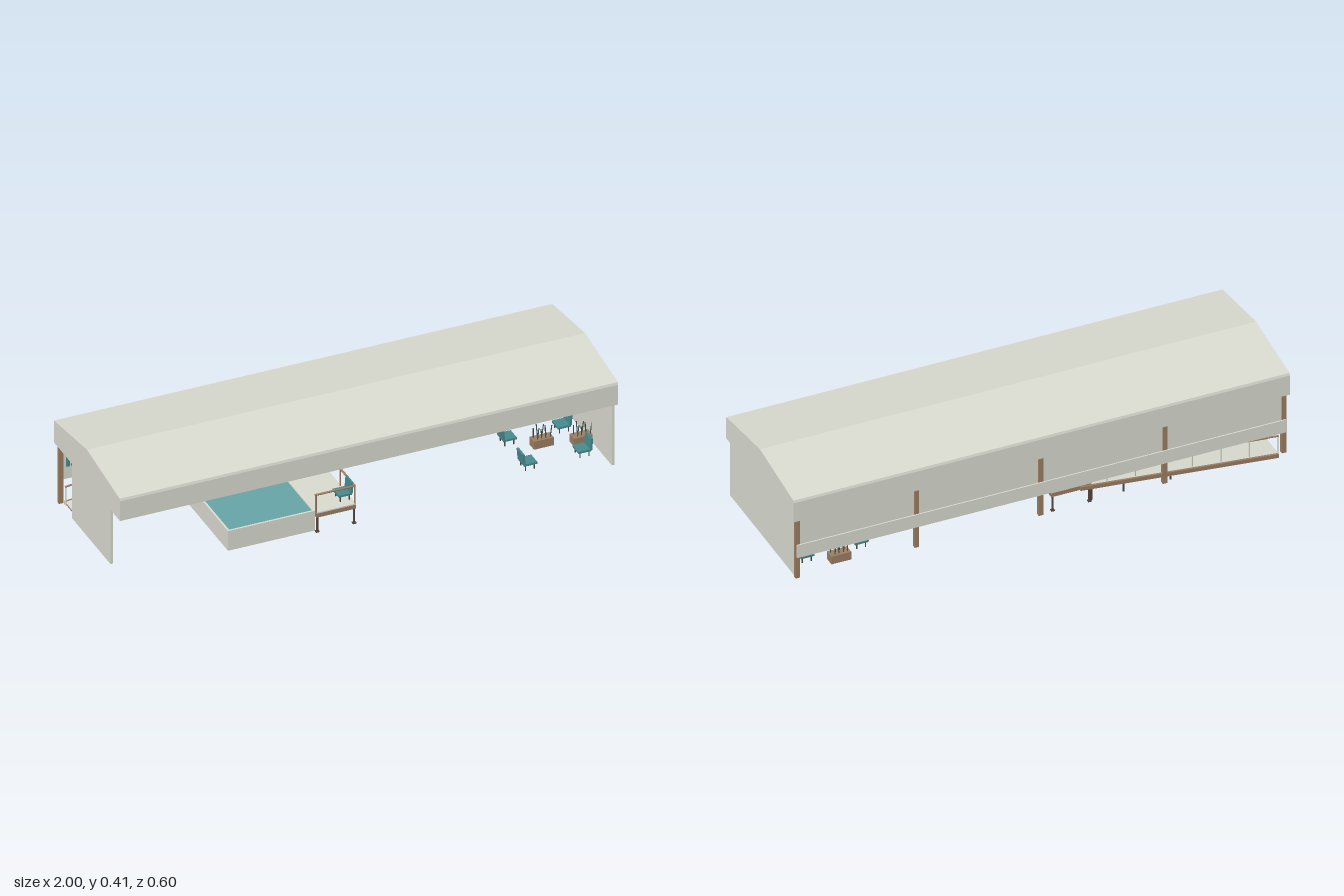
import * as THREE from 'three';

const mat = (name, color) => {
  const m = new THREE.MeshStandardMaterial({ color });
  m.name = name;
  return m;
};

export function createModel() {
  const grey = mat('paleGrey', 0xdadbd0);
  const brown = mat('timberBrown', 0x9d7f63);
  const dark = mat('darkBrown', 0x54463b);
  const teal = mat('chairTeal', 0x478a8e);
  const water = mat('waterTeal', 0x67a5a8);
  const reedGreen = mat('reedSlate', 0x435452);
  const root = new THREE.Group();
  root.name = 'poolPavilion';

  const add = (parent, name, geo, m) => {
    const mesh = new THREE.Mesh(geo, m);
    mesh.name = name;
    parent.add(mesh);
    return mesh;
  };
  // Box given by its minimum and maximum on each axis
  const box = (parent, name, m, x0, x1, y0, y1, z0, z1) => {
    const b = add(parent, name, new THREE.BoxGeometry(x1 - x0, y1 - y0, z1 - z0), m);
    b.position.set((x0 + x1) / 2, (y0 + y1) / 2, (z0 + z1) / 2);
    return b;
  };
  // Thin round bar between two points
  const bar = (parent, name, m, a, b, r = 0.003) => {
    const p = new THREE.Vector3(...a), q = new THREE.Vector3(...b);
    const d = q.clone().sub(p);
    const mesh = add(parent, name, new THREE.CylinderGeometry(r, r, d.length(), 16), m);
    mesh.position.copy(p).add(q).multiplyScalar(0.5);
    mesh.quaternion.setFromUnitVectors(new THREE.Vector3(0, 1, 0), d.normalize());
    return mesh;
  };
  // Cross-section in z and y, extruded along x
  const extrudeX = (parent, name, m, pts, x0, x1) => {
    const shape = new THREE.Shape(pts.map(([z, y]) => new THREE.Vector2(-z, y)));
    const geo = new THREE.ExtrudeGeometry(shape, { depth: x1 - x0, bevelEnabled: false });
    geo.rotateY(Math.PI / 2);
    geo.translate(x0, 0, 0);
    return add(parent, name, geo, m);
  };

  // Roof shell and closed gable ends
  const outer = [[-0.3, 0.275], [-0.3, 0.36], [-0.297, 0.37], [0, 0.413],
    [0.297, 0.37], [0.3, 0.36], [0.3, 0.275]];
  const inner = [[0.292, 0.275], [0.292, 0.362], [0, 0.404], [-0.292, 0.362], [-0.292, 0.275]];
  extrudeX(root, 'roof', grey, [...outer, ...inner], -0.992, 0.992);
  for (const x of [-1, 0.992]) extrudeX(root, 'gable', grey, outer, x, x + 0.008);

  // End walls, back panel and outer back rail
  box(root, 'rightEndWall', grey, 0.975, 0.985, 0.017, 0.277, -0.28, 0.298);
  box(root, 'leftEndWall', grey, -0.985, -0.975, 0.017, 0.277, -0.17, 0.18);
  box(root, 'backPanel', grey, -0.985, 0.985, 0.115, 0.28, -0.288, -0.284);
  box(root, 'backBand', grey, -0.985, 0.985, 0.11, 0.166, -0.298, -0.293);

  // Back posts
  for (const x of [-0.98, -0.5, 0, 0.5, 0.98]) {
    box(root, 'backPost', brown, x - 0.009, x + 0.009, 0.017, 0.28, -0.293, -0.278);
  }
  // Vertical slats on the back panel
  for (let i = 0; i < 11; i++) {
    const x = -0.955 + i * 0.019;
    box(root, 'slat', teal, x - 0.006, x + 0.006, 0.175, 0.28, -0.276, -0.27);
  }

  // Pool basin with walls, floor and water
  const pool = new THREE.Group();
  pool.name = 'pool';
  root.add(pool);
  box(pool, 'poolFloor', grey, -0.56, -0.21, 0.027, 0.04, -0.16, 0.285);
  box(pool, 'poolFrontWall', grey, -0.56, -0.21, 0.04, 0.112, 0.277, 0.285);
  box(pool, 'poolBackWall', grey, -0.56, -0.21, 0.04, 0.112, -0.16, -0.152);
  for (const x of [-0.56, -0.218]) box(pool, 'poolSideWall', grey, x, x + 0.008, 0.04, 0.112, -0.152, 0.277);
  box(pool, 'water', water, -0.552, -0.218, 0.1, 0.108, -0.152, 0.277);
  // Handrails of the pool entry
  for (const z of [-0.02, 0.05]) {
    bar(pool, 'entryRail', brown, [-0.31, 0.108, z], [-0.235, 0.165, z], 0.002);
    bar(pool, 'entryRailPost', grey, [-0.235, 0.1, z], [-0.235, 0.165, z], 0.002);
    bar(pool, 'entryRailPost', grey, [-0.272, 0.1, z], [-0.272, 0.137, z], 0.002);
  }

  // Ramp along the back: pale boards on timber stringers and joists
  const ramp = new THREE.Group();
  ramp.name = 'ramp';
  root.add(ramp);
  const rampY = (x) => 0.012 + (x + 0.96) * 0.1;
  const slope = (name, m, x0, x1, z0, z1, lo, hi) => {
    const pts = [[x0, rampY(x0) + lo], [x1, rampY(x1) + lo], [x1, rampY(x1) + hi], [x0, rampY(x0) + hi]];
    const geo = new THREE.ExtrudeGeometry(new THREE.Shape(pts.map((p) => new THREE.Vector2(...p))),
      { depth: z1 - z0, bevelEnabled: false });
    geo.translate(0, 0, z0);
    add(ramp, name, geo, m);
  };
  slope('rampBoards', grey, -0.96, -0.2, -0.283, -0.185, 0, 0.004);
  for (const z of [-0.292, -0.185]) slope('rampStringer', brown, -0.96, -0.16, z, z + 0.009, -0.012, 0.004);
  for (let i = 0; i < 6; i++) {
    const x = -0.958 + i * 0.149;
    slope('rampJoist', brown, x, x + 0.009, -0.283, -0.185, -0.009, 0);
  }
  for (const z of [-0.276, -0.181]) {
    bar(ramp, 'rampHandrail', brown, [-0.965, rampY(-0.965) + 0.075, z], [-0.16, rampY(-0.16) + 0.065, z], 0.0035);
    for (let i = 0; i < 8; i++) {
      const x = -0.962 + i * 0.115;
      bar(ramp, 'rampRailPost', grey, [x, rampY(x) - 0.005, z], [x, rampY(x) + 0.072, z], 0.0025);
    }
    for (const x of [-0.53, -0.34, -0.21]) bar(ramp, 'rampLeg', dark, [x, 0.018, z], [x, rampY(x), z], 0.004);
  }

  // Raised deck beside the pool: pale boards on timber beams
  const deck = new THREE.Group();
  deck.name = 'deck';
  root.add(deck);
  box(deck, 'deckBoards', grey, -0.205, -0.045, 0.097, 0.102, -0.285, 0.285);
  for (const x of [-0.205, -0.053]) box(deck, 'deckBeam', brown, x, x + 0.008, 0.08, 0.097, -0.285, 0.285);
  for (const z of [-0.285, -0.12, 0.01, 0.145, 0.277]) {
    box(deck, 'deckJoist', brown, -0.197, -0.053, 0.08, 0.097, z, z + 0.008);
    for (const x of [-0.2, -0.052]) {
      bar(deck, 'deckLeg', dark, [x, 0.02, z + 0.004], [x, 0.085, z + 0.004], 0.004);
      box(deck, 'deckFoot', dark, x - 0.007, x + 0.007, 0.017, 0.021, z - 0.003, z + 0.011);
    }
    bar(deck, 'deckRailPost', brown, [-0.049, 0.095, z + 0.004], [-0.049, 0.178, z + 0.004]);
  }
  bar(deck, 'deckRail', brown, [-0.049, 0.177, -0.281], [-0.049, 0.177, 0.281], 0.004);
  for (const z of [-0.281, 0.281]) {
    bar(deck, 'deckEndRail', brown, [-0.209, 0.177, z], [-0.049, 0.177, z], 0.004);
    bar(deck, 'deckRailPost', brown, [-0.205, 0.095, z], [-0.205, 0.178, z]);
  }

  // Chair with its front toward +x
  const chair = (x, y, z, turn) => {
    const g = new THREE.Group();
    g.name = 'chair';
    box(g, 'seat', teal, -0.026, 0.027, 0.022, 0.03, -0.028, 0.028);
    const back = box(g, 'backrest', teal, -0.03, -0.022, 0.026, 0.074, -0.028, 0.028);
    back.rotation.z = 0.08;
    for (const lx of [-0.018, 0.018]) for (const lz of [-0.021, 0.021]) {
      bar(g, 'chairLeg', dark, [lx, 0, lz], [lx, 0.024, lz], 0.0025);
    }
    g.position.set(x, y, z);
    g.rotation.y = turn;
    root.add(g);
  };
  for (const z of [-0.19, -0.003, 0.183]) {
    chair(0.688, 0.018, z, 0);
    chair(0.907, 0.018, z, Math.PI);
  }
  chair(-0.08, 0.11, 0.24, Math.PI);

  // Planter boxes with upright reeds
  for (const [px, pz] of [[0.792, -0.245], [0.797, 0.065], [0.94, 0.105]]) {
    const g = new THREE.Group();
    g.name = 'planter';
    box(g, 'planterBox', brown, -0.04, 0.04, 0, 0.034, -0.02, 0.02);
    for (let i = 0; i < 8; i++) {
      const x = -0.03 + i * 0.0085, z = i % 2 ? 0.009 : -0.009;
      bar(g, 'reed', reedGreen, [x, 0.03, z], [x + 0.007 * Math.sin(i * 2), 0.074 + 0.007 * (i % 3), z], 0.002);
    }
    g.position.set(px, 0.018, pz);
    root.add(g);
  }
  return root;
}
